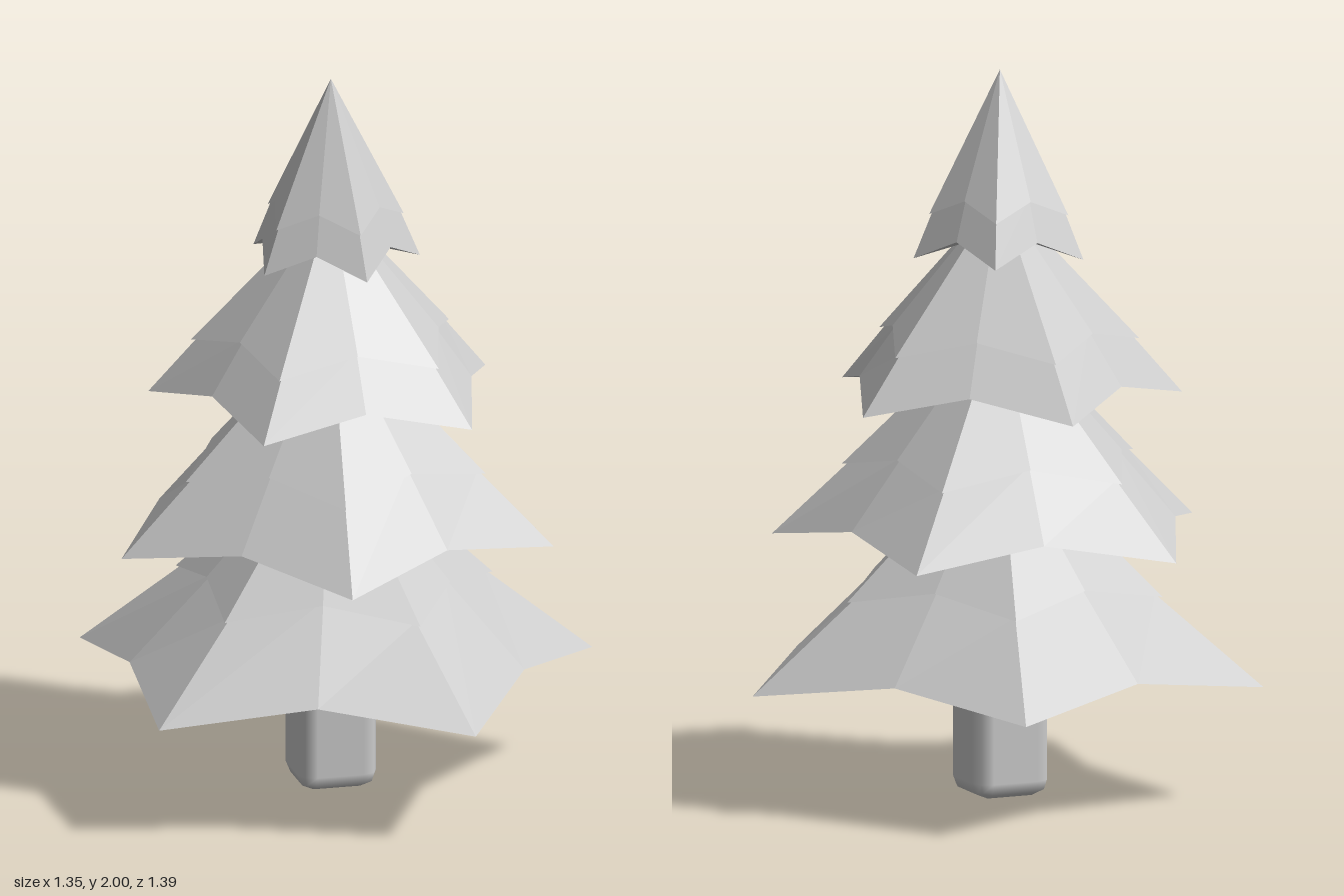
import * as THREE from 'three';
import { RoundedBoxGeometry } from 'three/addons/geometries/RoundedBoxGeometry.js';

const POINTS = 5;      // star tips per tier
const VALLEY = 0.77;   // valley radius relative to tip radius

// Ring of alternating tips and valleys; valleys sit nearer the axis and a bit higher.
function starRing(radius, y, lift, angle) {
  const ring = [];
  for (let i = 0; i < POINTS * 2; i++) {
    const a = angle + (i * Math.PI) / POINTS;
    const valley = i % 2 === 1;
    const r = radius * (valley ? VALLEY : 1);
    ring.push([Math.cos(a) * r, y + (valley ? lift : 0), Math.sin(a) * r]);
  }
  return ring;
}

// Skin between successive rings, from the top downwards.
function loft(rings) {
  const pos = [];
  for (let k = 0; k < rings.length - 1; k++) {
    const up = rings[k], low = rings[k + 1], n = up.length;
    for (let i = 0; i < n; i++) {
      const j = (i + 1) % n;
      if (k > 0) pos.push(...up[i], ...up[j], ...low[j]);
      if (k === 0) pos.push(...up[i], ...low[j], ...low[i]);
      else if (k < rings.length - 2) pos.push(...up[i], ...low[j], ...low[i]);
    }
  }
  const geometry = new THREE.BufferGeometry();
  geometry.setAttribute('position', new THREE.Float32BufferAttribute(pos, 3));
  geometry.computeVertexNormals();
  return geometry;
}

// One tier: a pointed star cap overhanging a wider star skirt, closed underneath.
function tierGeometry({ apex, midR, midY, tipR, tipY, angle }) {
  const a = THREE.MathUtils.degToRad(angle);
  return loft([
    starRing(0, apex, 0, a),
    starRing(midR, midY, 0.048, a),
    starRing(midR * 0.95, midY + 0.008, 0.048, a),
    starRing(tipR, tipY, 0.06, a),
    starRing(0, tipY + 0.06, 0, a),
  ]);
}

export function createModel() {
  const model = new THREE.Group();
  model.name = 'tree';
  const grey = new THREE.MeshStandardMaterial({ color: 0xcccccc });
  grey.name = 'light grey';
  grey.flatShading = false; // facets come from unshared corners

  const tree = new THREE.Group();
  tree.name = 'treeParts';
  tree.position.x = -0.062;
  model.add(tree);

  // Trunk with softened edges
  const trunk = new THREE.Mesh(new RoundedBoxGeometry(0.22, 0.6, 0.22, 1, 0.045), grey);
  trunk.name = 'trunk';
  trunk.position.y = 0.3;
  tree.add(trunk);

  // Foliage tiers, bottom to top, each turned differently
  const tiers = [
    { name: 'bottomBranches', apex: 0.99, midR: 0.453, midY: 0.56, tipR: 0.733, tipY: 0.322, angle: 0 },
    { name: 'lowerBranches', apex: 1.33, midR: 0.43, midY: 0.905, tipR: 0.62, tipY: 0.71, angle: 27 },
    { name: 'upperBranches', apex: 1.66, midR: 0.38, midY: 1.25, tipR: 0.497, tipY: 1.1, angle: 54 },
    { name: 'topBranches', apex: 2.0, midR: 0.199, midY: 1.61, tipR: 0.243, tipY: 1.49, angle: 8.5 },
  ];
  for (const t of tiers) {
    const mesh = new THREE.Mesh(tierGeometry(t), grey);
    mesh.name = t.name;
    tree.add(mesh);
  }
  return model;
}
